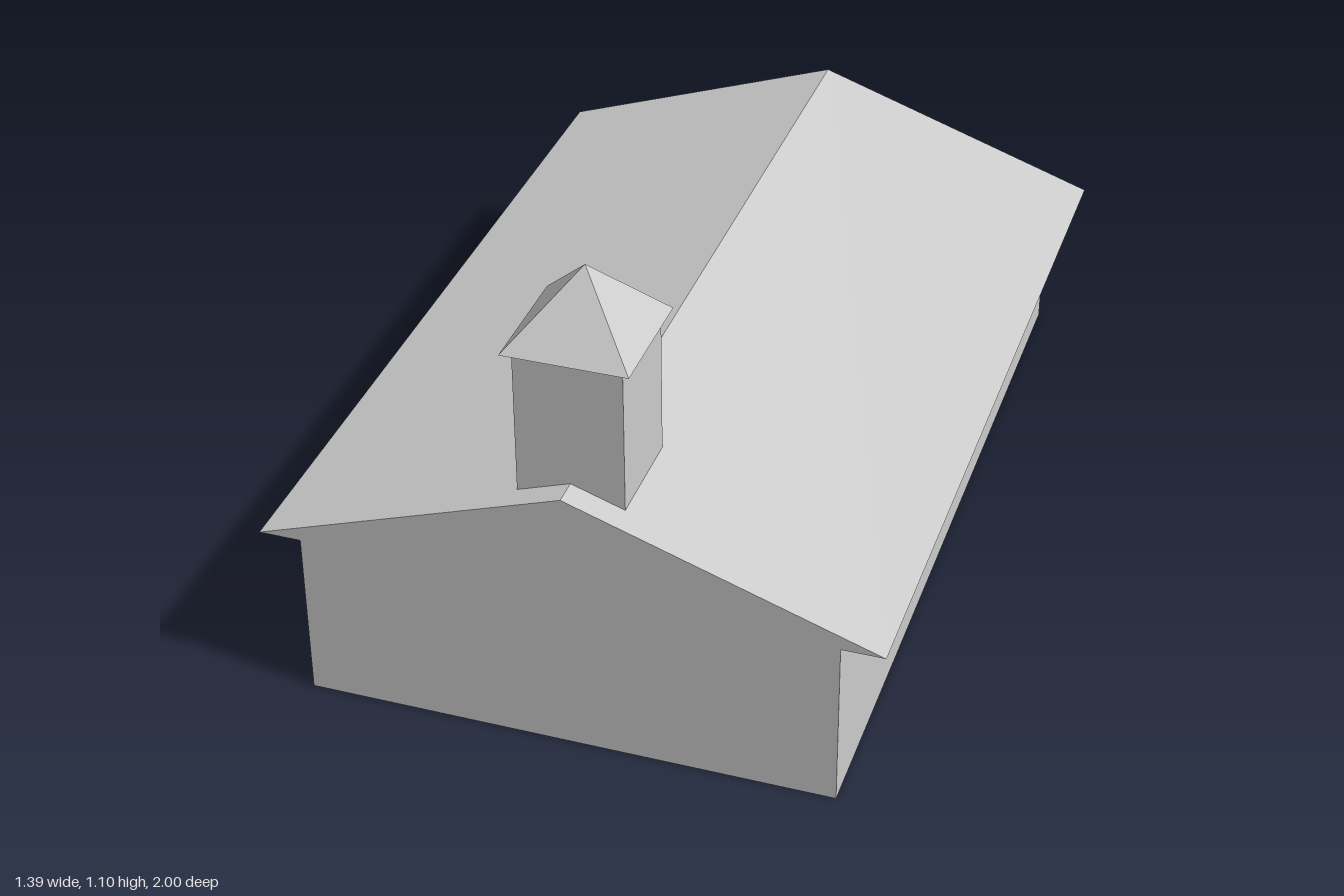
import * as THREE from 'three';

const LENGTH = 2;
const EAVE_Y = 0.4;
const RIDGE_Y = 0.64;
const TOWER_Z = 0.82;

export function createModel() {
  const group = new THREE.Group();
  const material = new THREE.MeshStandardMaterial({ color: 0xcccccc, flatShading: true });

  const add = (name, geometry, x, y, z) => {
    const mesh = new THREE.Mesh(geometry, material);
    mesh.name = name;
    mesh.position.set(x, y, z);
    group.add(mesh);
  };

  // Long hall
  add('walls', new THREE.BoxGeometry(1.2, EAVE_Y, LENGTH), 0, EAVE_Y / 2, 0);

  // Solid gable roof with overhanging eaves
  const gable = new THREE.Shape([
    new THREE.Vector2(-0.696, EAVE_Y),
    new THREE.Vector2(0.696, EAVE_Y),
    new THREE.Vector2(0, RIDGE_Y),
  ]);
  const roof = new THREE.ExtrudeGeometry(gable, { depth: LENGTH, bevelEnabled: false });
  add('gableRoof', roof, 0, 0, -LENGTH / 2);

  // Square bell tower rising through the ridge
  const towerBottom = 0.54, towerTop = 0.94;
  add('tower', new THREE.BoxGeometry(0.238, towerTop - towerBottom, 0.238),
    0, (towerBottom + towerTop) / 2, TOWER_Z);

  // Pyramid cap, turned so its sides line up with the tower
  const capHeight = 0.16;
  const cap = new THREE.ConeGeometry(0.139 * Math.SQRT2, capHeight, 4).rotateY(Math.PI / 4);
  add('towerRoof', cap, 0, towerTop + capHeight / 2, TOWER_Z);

  return group;
}
